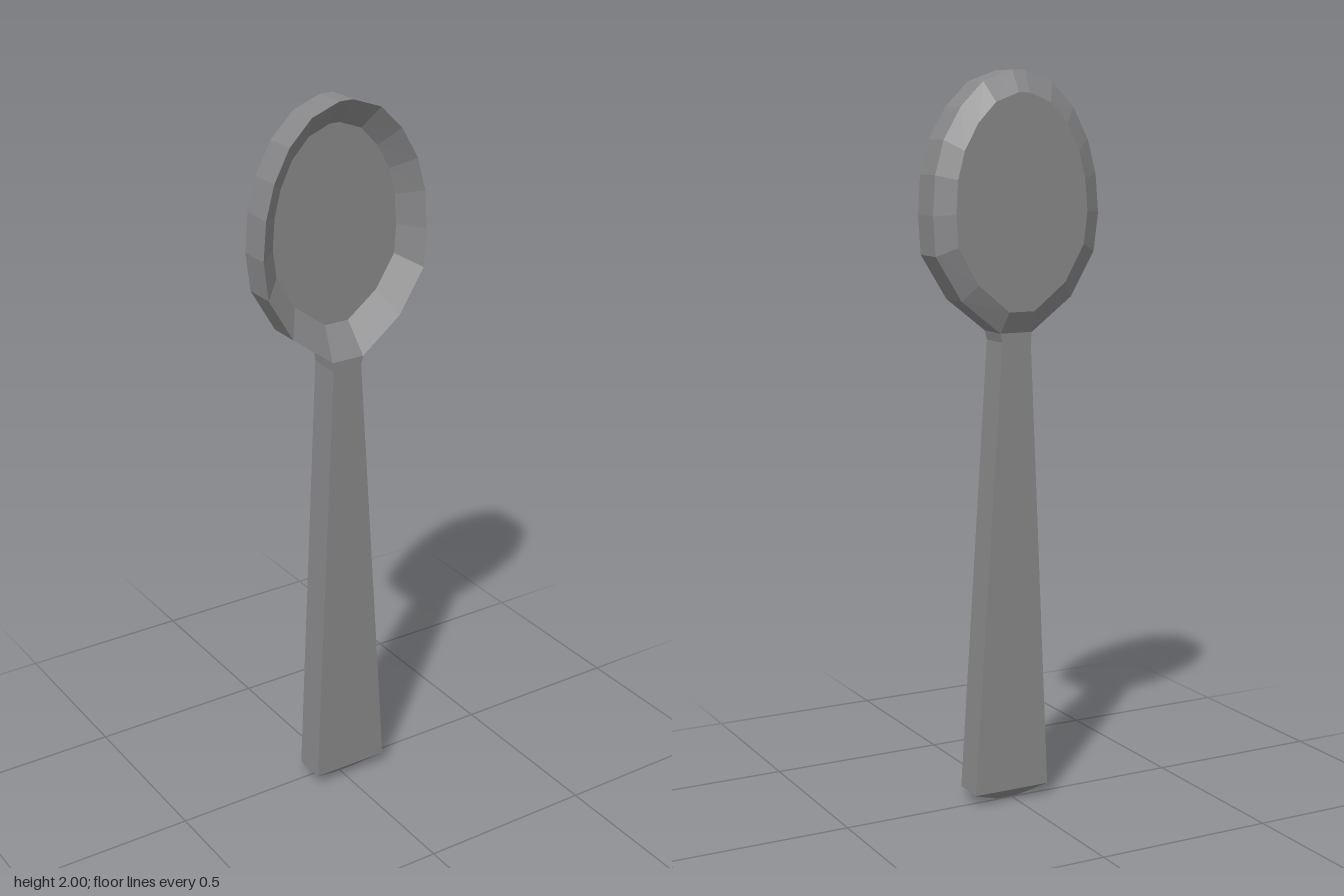
import * as THREE from 'three';

// Skins a list of rings (equal point counts) and closes both ends with fans.
function loft(rings) {
  const pos = [];
  const tri = (a, b, c) => pos.push(...a, ...b, ...c);
  const n = rings[0].length;
  const middle = (ring) => [0, 1, 2].map((k) => ring.reduce((s, p) => s + p[k], 0) / n);
  const first = rings[0], last = rings[rings.length - 1];
  const c0 = middle(first), c1 = middle(last);
  for (let i = 0; i < n; i++) {
    const j = (i + 1) % n;
    tri(c0, first[i], first[j]);
    for (let r = 0; r < rings.length - 1; r++) {
      const A = rings[r], B = rings[r + 1];
      tri(A[i], B[i], A[j]);
      tri(B[i], B[j], A[j]);
    }
    tri(c1, last[j], last[i]);
  }
  const geo = new THREE.BufferGeometry();
  geo.setAttribute('position', new THREE.Float32BufferAttribute(pos, 3));
  geo.computeVertexNormals(); // unshared corners give flat facets
  return geo;
}

// Bowl outline, counter-clockwise from the neck
const outline = [
  [0.05, 1.31], [0.165, 1.4], [0.24, 1.52], [0.247, 1.625], [0.24, 1.73],
  [0.215, 1.82], [0.165, 1.905], [0.1, 1.97], [0.015, 2],
  [-0.025, 2], [-0.105, 1.97], [-0.17, 1.905], [-0.215, 1.82], [-0.24, 1.73],
  [-0.249, 1.625], [-0.236, 1.52], [-0.165, 1.4], [-0.045, 1.31],
];

// Outline shrunk about the bowl centre, at depth z
function bowlRing(z, sx = 1, top = 1, bottom = 1) {
  const cy = 1.655;
  return outline.map(([x, y]) => [x * sx, cy + (y - cy) * (y > cy ? top : bottom), z]);
}

// Rectangular handle section at height y
function handleRing(y, x0, x1, z0 = -0.03, z1 = 0.06) {
  return [[x1, y, z1], [x1, y, z0], [x0, y, z0], [x0, y, z1]];
}

export function createModel() {
  const model = new THREE.Group();
  model.name = 'spoon';
  const metal = new THREE.MeshStandardMaterial({ color: 0x88888a });
  metal.name = 'grey metal';

  // Bowl: hollow floor, rim, outer wall, bevelled back
  const bowl = new THREE.Mesh(loft([
    bowlRing(0.005, 0.76, 0.8, 0.75),
    bowlRing(0.06),
    bowlRing(-0.03),
    bowlRing(-0.062, 0.79, 0.83, 0.83),
  ]), metal);
  bowl.name = 'bowl';

  // Handle: flares toward the foot, ends in a shallow bevelled tip
  const handle = new THREE.Mesh(loft([
    handleRing(1.31, -0.045, 0.05),
    handleRing(1.285, -0.042, 0.044),
    handleRing(0.033, -0.097, 0.128),
    handleRing(0, -0.02, 0.045, 0.005, 0.027),
  ]), metal);
  handle.name = 'handle';

  model.add(bowl, handle);
  return model;
}
